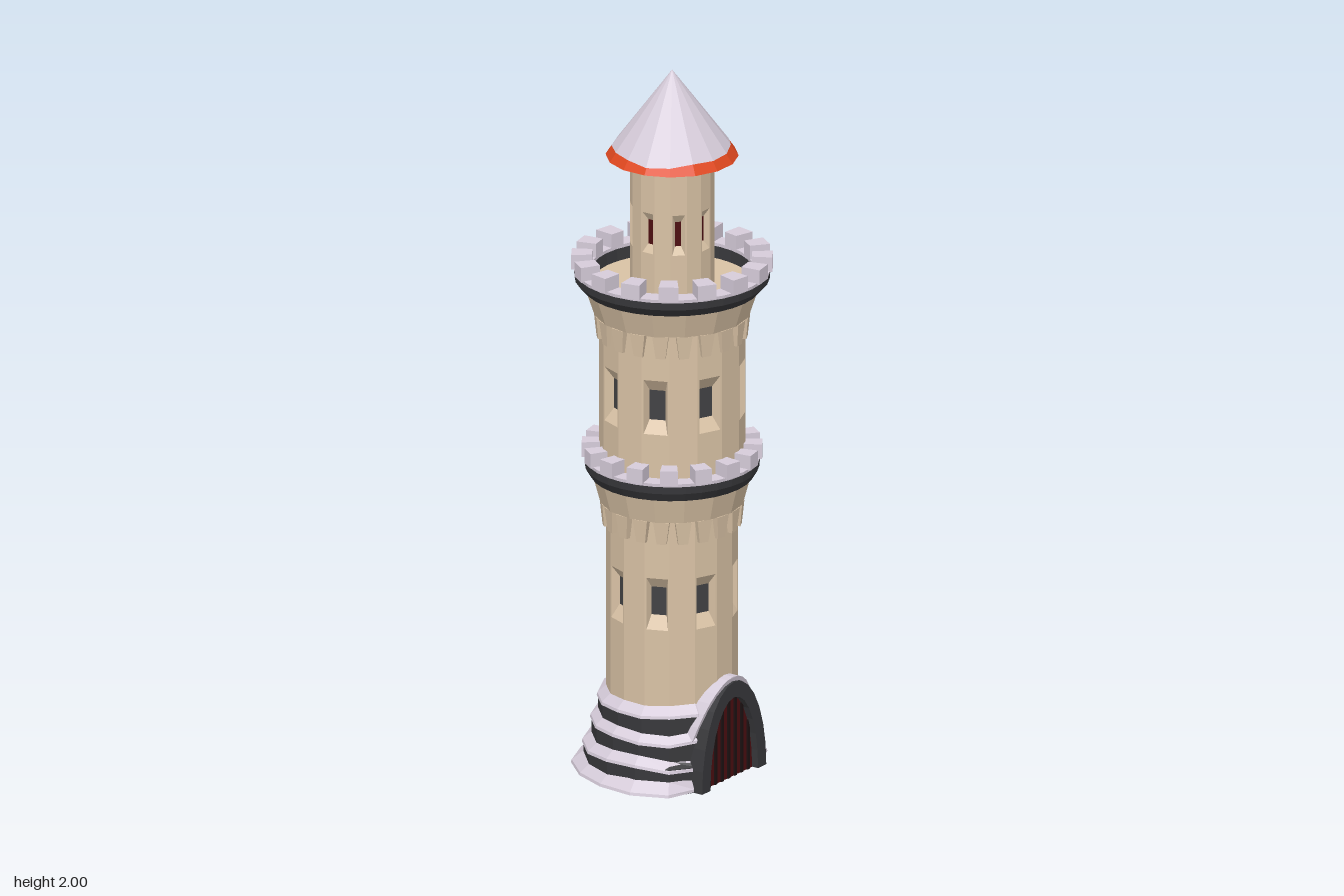
import * as THREE from 'three';
import { mergeGeometries } from 'three/addons/utils/BufferGeometryUtils.js';

const mat = (name, color) => Object.assign(new THREE.MeshStandardMaterial({ color }), { name });
const V = (x, y) => new THREE.Vector2(x, y);
const SIDES = 16, STEP = Math.PI * 2 / SIDES;

// Flat-faced copy of a geometry, ready for merging
function flat(g) {
  const f = g.index ? g.toNonIndexed() : g;
  f.deleteAttribute('uv');
  f.computeVertexNormals();
  return f;
}

// Moves every vertex by a rule
function warp(g, rule) {
  const p = g.attributes.position, v = new THREE.Vector3();
  for (let i = 0; i < p.count; i++) {
    rule(v.fromBufferAttribute(p, i));
    p.setXYZ(i, v.x, v.y, v.z);
  }
  return g;
}

const lathe = (pts, sides = SIDES, start = STEP / 2) =>
  new THREE.LatheGeometry(pts.map(p => V(p[0], p[1])), sides, start);

// Rectangle outline centred on cx, cy
const rect = (w, h, cy) => [V(-w / 2, cy - h / 2), V(w / 2, cy - h / 2), V(w / 2, cy + h / 2), V(-w / 2, cy + h / 2)];

// Splayed sides of a window, from the wall face back to the glass
function reveal(outer, inner, depth) {
  const pos = [];
  for (let i = 0; i < 4; i++) {
    const j = (i + 1) % 4;
    const a = [outer[i].x, outer[i].y, 0], b = [outer[j].x, outer[j].y, 0];
    const c = [inner[j].x, inner[j].y, -depth], d = [inner[i].x, inner[i].y, -depth];
    pos.push(...a, ...b, ...c, ...a, ...c, ...d);
  }
  const g = new THREE.BufferGeometry();
  g.setAttribute('position', new THREE.Float32BufferAttribute(pos, 3));
  return g;
}

// Arch outline points from one foot over the top to the other
function archPoints(w, h, t0 = 0, t1 = Math.PI, n = 14) {
  return Array.from({ length: n + 1 }, (_, i) => {
    const t = t0 + (t1 - t0) * i / n;
    return V(w * Math.cos(t), h * Math.sin(t));
  });
}

export function createModel() {
  const tower = new THREE.Group();
  tower.name = 'tower';
  const stone = mat('sandstone', 0xd9c2a5), snow = mat('pale snow', 0xd6ccda);
  const slate = mat('dark slate', 0x38383b), orange = mat('orange roof', 0xe0481f);
  const red = mat('dark red wood', 0x4c0d10), black = mat('dark planks', 0x1c1112);
  const glass = mat('window grey', 0x424244);

  const add = (name, geos, material, parent = tower) => {
    const mesh = new THREE.Mesh(mergeGeometries([].concat(geos).map(flat)), material);
    mesh.name = name;
    parent.add(mesh);
    return mesh;
  };

  // Faceted wall with a window in every second facet
  function wall(name, R, y0, y1, first, win, pane, paneMat) {
    const group = new THREE.Group();
    group.name = name;
    tower.add(group);
    const walls = [], panes = [], w = 2 * R * Math.sin(STEP / 2), ap = R * Math.cos(STEP / 2);
    for (let k = 0; k < SIDES; k++) {
      const place = (g, z = ap) => g.translate(0, 0, z).rotateY(k * STEP);
      const face = new THREE.Shape(rect(w, y1 - y0, (y0 + y1) / 2));
      if (k % 2 === first) {
        const outer = rect(...win), inner = rect(...pane), depth = R * 0.12;
        face.holes.push(new THREE.Path(outer));
        walls.push(place(reveal(outer, inner, depth)));
        panes.push(place(new THREE.ShapeGeometry(new THREE.Shape(inner)), ap - depth));
      }
      walls.push(place(new THREE.ShapeGeometry(face)));
    }
    add(name + 'Stone', walls, stone, group);
    add(name + 'Windows', panes, paneMat, group);
  }

  // Flared gallery with hanging teeth, slate parapet and battlements
  function gallery(name, y, wallR, r0, r1, ringR, toothTop, toothLow) {
    const group = new THREE.Group();
    group.name = name;
    tower.add(group);
    const inner = ringR - 0.055;
    add('flare', lathe([[wallR - 0.02, toothTop], [r0, toothTop], [r1, y + 0.005], [inner + 0.004, y + 0.012], [0, y + 0.012]], SIDES, 0), stone, group);
    const teeth = [], h = toothTop - toothLow, count = 20;
    for (let i = 0; i < count; i++) {
      const g = warp(new THREE.BoxGeometry(0.044, h, 0.034), v => {
        if (v.y < 0) { v.x *= 0.6; if (v.z > 0) v.z -= 0.006; }
      });
      teeth.push(g.translate(0, toothTop - h / 2, r0 - 0.0185).rotateY((i + 0.5) * Math.PI * 2 / count));
    }
    add('hangingTeeth', teeth, stone, group);
    add('parapet', lathe([[inner, y], [r1 + 0.004, y], [ringR - 0.006, y + 0.025], [ringR - 0.004, y + 0.05],
      [inner + 0.004, y + 0.05], [inner, y]], 32, 0), slate, group);
    add('parapetSnow', lathe([[ringR - 0.004, y + 0.046], [ringR - 0.003, y + 0.055], [inner + 0.003, y + 0.055],
      [inner + 0.003, y + 0.046]], 32, 0), snow, group);
    const merlons = [];
    for (let i = 0; i < 16; i++) {
      const g = warp(new THREE.BoxGeometry(ringR * 0.2, 0.042, 0.056), v => { if (v.z < 0) v.x *= 0.82; });
      merlons.push(g.translate(0, y + 0.073, ringR - 0.026).rotateY((i + 0.5) * STEP));
    }
    add('merlons', merlons, snow, group);
  }

  // Base: stepped slate core, held back behind the doorway
  const clear = v => { if (Math.abs(v.z) < 0.16 || v.x > 0.18) v.x = Math.min(v.x, 0.18); };
  add('baseSteps', warp(lathe([[0, 0], [0.262, 0], [0.24, 0.03], [0.24, 0.07], [0.218, 0.085], [0.218, 0.135],
    [0.2, 0.15], [0.2, 0.205], [0.17, 0.23]]), clear), slate);

  // Snow drifts lying on each step, with a wavy lower edge
  const drifts = [[0.268, 0.002, 0.238, 0.036], [0.241, 0.064, 0.216, 0.094], [0.219, 0.132, 0.198, 0.161], [0.201, 0.2, 0.172, 0.235]];
  add('baseSnow', drifts.map(([r, y0, rTop, y1], i) =>
    warp(lathe([[r - 0.015, y0], [r + 0.003, y0], [r + 0.001, y0 + 0.008], [rTop, y1]]), v => {
      const a = Math.round(Math.atan2(v.x, v.z) / STEP * 2) * STEP / 2;
      const wave = Math.sin(a * 3 + i * 2) + Math.sin(a * 5 + i);
      if (i) v.y += 0.004 * wave;
      else { v.x *= 1 + 0.012 * wave; v.z *= 1 + 0.012 * wave; }
      clear(v);
    })), snow);

  // Tower storeys
  wall('lowerStorey', 0.178, 0.2, 0.8, 1, [0.06, 0.148, 0.522], [0.042, 0.08, 0.525], glass);
  gallery('lowerGallery', 0.838, 0.178, 0.196, 0.217, 0.242, 0.765, 0.7);
  wall('upperStorey', 0.198, 0.84, 1.34, 1, [0.066, 0.155, 1.095], [0.044, 0.085, 1.095], glass);
  gallery('upperGallery', 1.378, 0.198, 0.212, 0.238, 0.27, 1.305, 1.24);
  wall('turret', 0.114, 1.38, 1.765, 0, [0.035, 0.115, 1.562], [0.017, 0.07, 1.562], red);

  // Roof: orange eaves under a snowy cone with an uneven edge
  add('roofEaves', new THREE.CylinderGeometry(0.15, 0.18, 0.041, SIDES).rotateY(STEP / 2).translate(0, 1.7755, 0), orange);
  add('roofSnow', warp(lathe([[0.13, 1.784], [0.164, 1.78], [0, 2]]), v => {
    const r = Math.hypot(v.x, v.z);
    if (r < 0.15) return;
    const a = Math.atan2(v.x, v.z), s = 1 + 0.02 * Math.sin(a * 2 + 1) + 0.015 * Math.sin(a * 5);
    v.x *= s; v.z *= s;
    v.y = 2.003 - r * s * 1.361;
  }), snow);

  // Doorway facing +x
  const door = new THREE.Group();
  door.name = 'doorway';
  tower.add(door);
  const arch = (outer, inner, x0, x1) => new THREE.ExtrudeGeometry(
    new THREE.Shape([...outer, ...inner.reverse()]), { depth: x1 - x0, bevelEnabled: false })
    .translate(0, 0, x0).rotateY(Math.PI / 2);
  add('doorFrame', arch(archPoints(0.148, 0.282), archPoints(0.11, 0.237), 0.09, 0.207), slate, door);
  add('doorLeaf', new THREE.ShapeGeometry(new THREE.Shape(archPoints(0.114, 0.241)))
    .rotateY(Math.PI / 2).translate(0.187, 0, 0), red, door);
  const planks = [];
  for (let i = -3; i <= 3; i++) {
    const z = i * 0.03, h = 0.237 * Math.sqrt(1 - (z / 0.113) ** 2);
    planks.push(new THREE.BoxGeometry(0.006, h, 0.011).translate(0.188, h / 2, z));
  }
  add('doorPlankGaps', planks, black, door);

  // Snow draped over the arch, sliding back toward the wall at its sides
  add('doorSnow', warp(arch(archPoints(0.157, 0.295, 0.5, Math.PI - 0.5), archPoints(0.14, 0.268, 0.5, Math.PI - 0.5), 0.14, 0.203),
    v => { v.x -= Math.max(0, 0.29 - v.y) * 0.24; }), snow, door);

  return tower;
}
